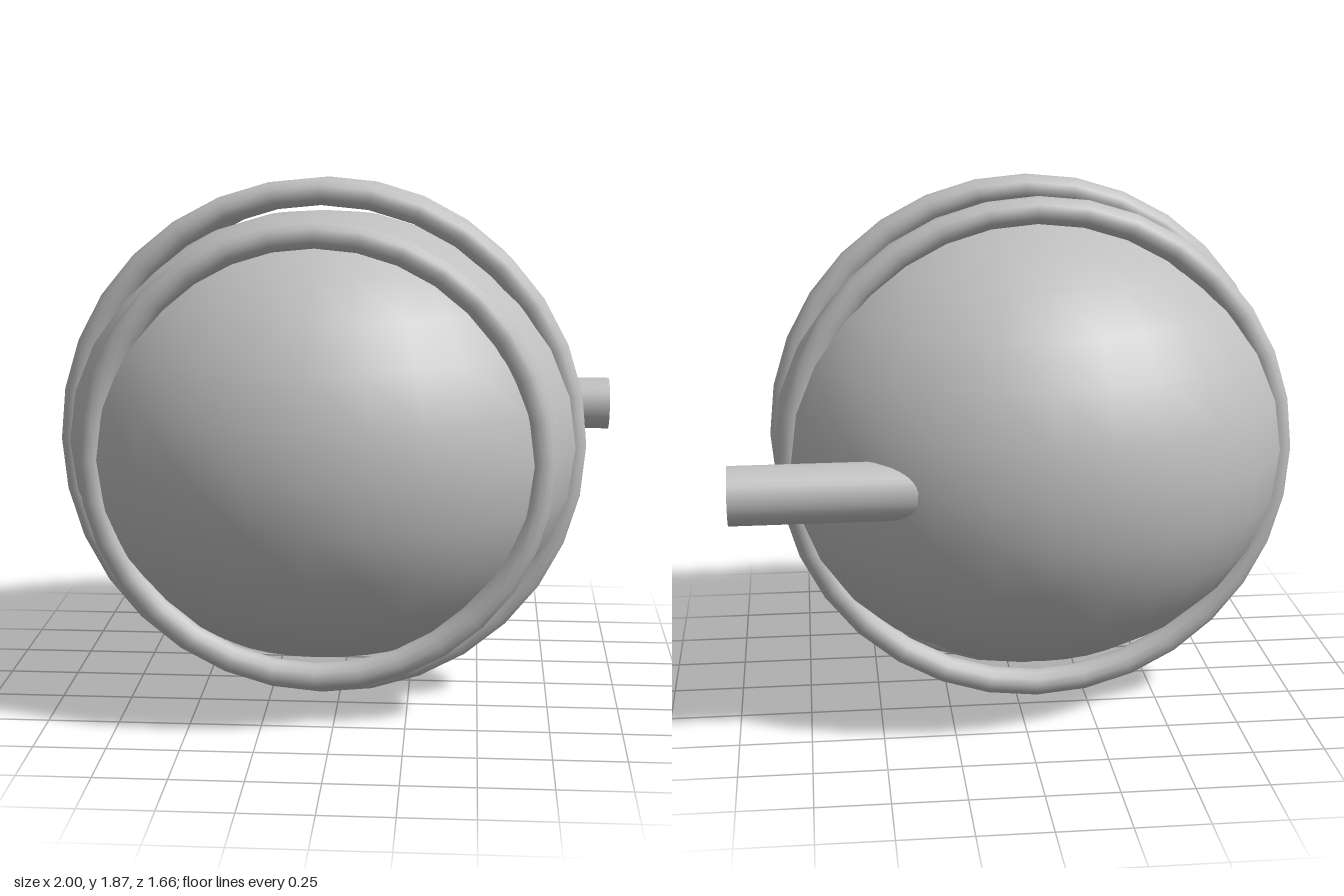
import * as THREE from 'three';

export function createModel() {
  const model = new THREE.Group();
  const grey = new THREE.MeshStandardMaterial({ color: 0xc0c0c0 });
  grey.name = 'light grey';
  const cx = -0.065, cy = 0.937;

  const add = (name, geometry, x, y, z) => {
    const mesh = new THREE.Mesh(geometry, grey);
    mesh.name = name;
    mesh.position.set(x, y, z);
    model.add(mesh);
    return mesh;
  };

  // Ellipsoid body, widest from side to side
  const body = new THREE.SphereGeometry(1, 28, 14);
  body.scale(0.92, 0.81, 0.83);
  add('body', body, cx, cy, 0);

  // Three upright hoops around the body: [name, radius, z]
  const hoops = [
    ['frontHoop', 0.772, 0.443],
    ['middleHoop', 0.888, 0.14],
    ['backHoop', 0.862, -0.23],
  ];
  for (const [name, radius, z] of hoops) {
    add(name, new THREE.TorusGeometry(radius, 0.048, 12, 32), cx, cy, z);
  }

  // Rod leaving the back of the body towards its left
  const rod = add('rod', new THREE.CylinderGeometry(0.099, 0.099, 0.9, 32), 0.55, 0.94, -0.62);
  rod.rotation.z = -Math.PI / 2;

  return model;
}
